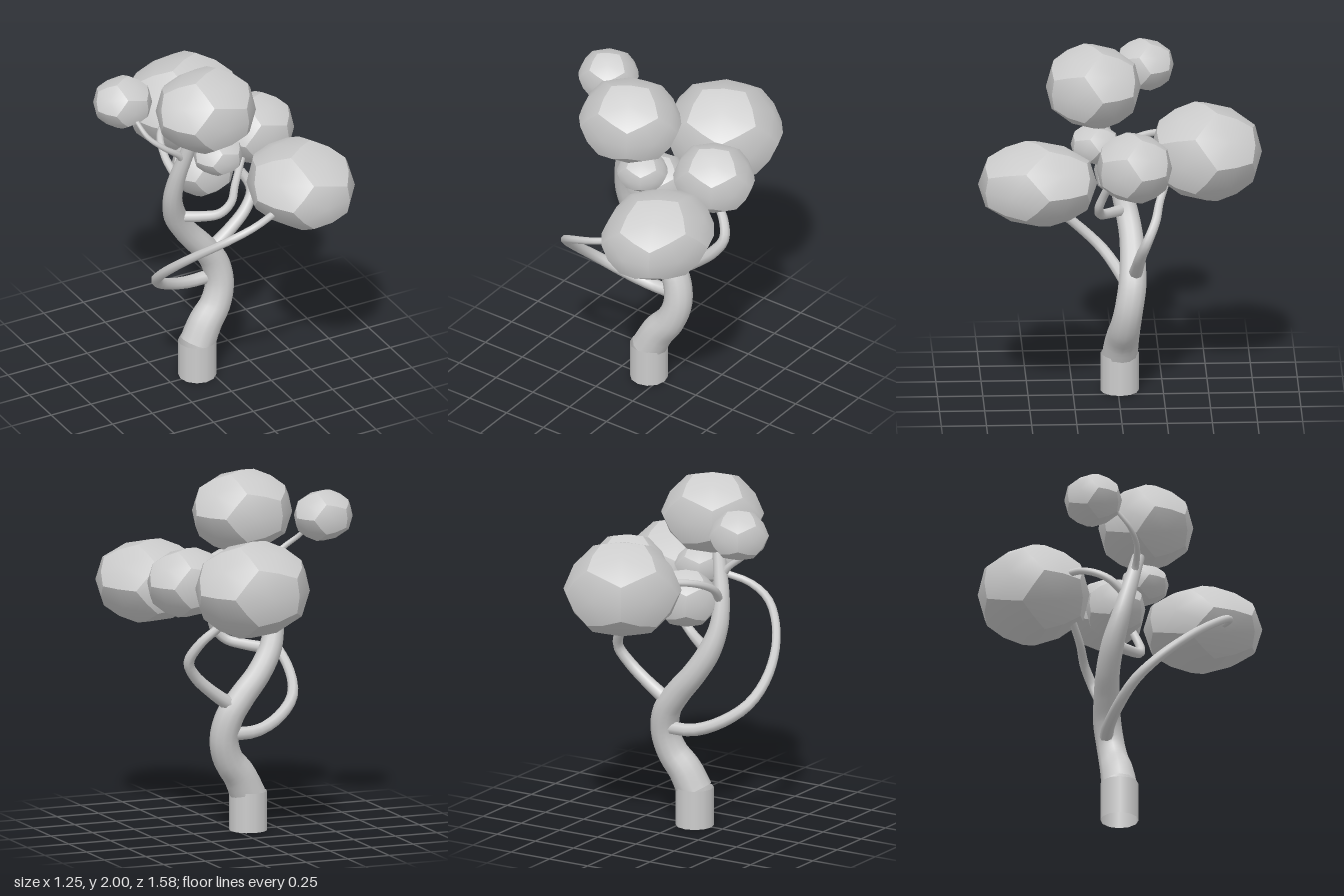
import * as THREE from 'three';
import { mergeVertices } from 'three/addons/utils/BufferGeometryUtils.js';

const material = new THREE.MeshStandardMaterial({ color: 0xcccccc, side: THREE.DoubleSide });

function addMesh(group, name, geometry) {
  const mesh = new THREE.Mesh(geometry, material);
  mesh.name = name;
  group.add(mesh);
  return mesh;
}

// Tube through points of [x, y, z, radius]
function taperedTube(points, segments, sides) {
  const curve = new THREE.CatmullRomCurve3(points.map(p => new THREE.Vector3(p[0], p[1], p[2])));
  const radii = new THREE.CatmullRomCurve3(points.map(p => new THREE.Vector3(p[3], 0, 0)));
  const geometry = new THREE.TubeGeometry(curve, segments, 1, sides);
  const pos = geometry.attributes.position;
  const v = new THREE.Vector3();
  for (let i = 0; i <= segments; i++) {
    const centre = curve.getPointAt(i / segments);
    const radius = radii.getPoint(curve.getUtoTmapping(i / segments)).x;
    for (let j = 0; j <= sides; j++) {
      const k = i * (sides + 1) + j;
      v.fromBufferAttribute(pos, k).sub(centre).multiplyScalar(radius).add(centre);
      pos.setXYZ(k, v.x, v.y, v.z);
    }
  }
  return geometry;
}

// Rounded dodecahedron: each pentagon is a domed patch, smooth inside and creased at its rim
function leafGeometry() {
  const base = new THREE.DodecahedronGeometry(1, 0);
  base.deleteAttribute('normal');
  base.deleteAttribute('uv');
  const pos = mergeVertices(base).attributes.position;
  const corners = [];
  for (let i = 0; i < pos.count; i++) corners.push(new THREE.Vector3().fromBufferAttribute(pos, i));

  const t = (1 + Math.sqrt(5)) / 2;
  const axes = [];
  for (const a of [-1, 1]) for (const b of [-1, 1]) {
    axes.push([0, a * t, b], [a * t, b, 0], [a, 0, b * t]);
  }
  const positions = [], index = [];
  for (const axis of axes) {
    const n = new THREE.Vector3(...axis).normalize();
    const ring = corners.filter(c => c.dot(n) > 0.7);
    const u = ring[0].clone().projectOnPlane(n).normalize();
    const w = n.clone().cross(u);
    const angle = c => Math.atan2(c.dot(w), c.dot(u));
    ring.sort((a, b) => angle(a) - angle(b));
    const start = positions.length / 3;
    positions.push(...n.clone().multiplyScalar(0.955).toArray());
    ring.forEach((c, i) => {
      const mid = c.clone().add(ring[(i + 1) % 5]).setLength(0.985);
      positions.push(...c.toArray(), ...mid.toArray());
    });
    for (let i = 0; i < 10; i++) index.push(start, start + 1 + i, start + 1 + (i + 1) % 10);
  }
  const geometry = new THREE.BufferGeometry();
  geometry.setAttribute('position', new THREE.Float32BufferAttribute(positions, 3));
  geometry.setIndex(index);
  geometry.rotateY(Math.PI / 6);
  geometry.computeVertexNormals();
  return geometry;
}

export function createModel() {
  const group = new THREE.Group();
  group.name = 'tree';

  // Straight, open-ended foot of the trunk
  addMesh(group, 'trunkBase', new THREE.CylinderGeometry(0.106, 0.106, 0.22, 12, 1, true))
    .position.set(-0.075, 0.11, -0.01);

  // Winding trunk
  addMesh(group, 'trunk', taperedTube([
    [-0.075, 0.2, -0.01, 0.1], [-0.02, 0.31, -0.02, 0.095], [0.055, 0.41, -0.035, 0.086],
    [0.09, 0.53, -0.055, 0.08], [0.065, 0.66, -0.075, 0.079], [-0.01, 0.77, -0.08, 0.073],
    [-0.11, 0.89, -0.075, 0.068], [-0.19, 1.02, -0.05, 0.065], [-0.23, 1.16, -0.01, 0.055],
    [-0.225, 1.31, 0.03, 0.047], [-0.19, 1.47, 0.07, 0.04], [-0.14, 1.68, 0.12, 0.032],
  ], 48, 12));

  // Branches
  const branches = {
    frontBranch: [
      [0.05, 0.56, -0.08, 0.038], [-0.1, 0.565, -0.07, 0.036], [-0.25, 0.62, -0.02, 0.034],
      [-0.375, 0.72, 0.07, 0.031], [-0.41, 0.85, 0.21, 0.028], [-0.35, 1.02, 0.4, 0.025],
      [-0.2, 1.17, 0.56, 0.023], [-0.05, 1.24, 0.6, 0.021], [0.1, 1.28, 0.57, 0.02]],
    leftBranch: [
      [0.04, 0.71, -0.09, 0.042], [0.18, 0.81, -0.1, 0.036], [0.29, 0.91, -0.115, 0.033],
      [0.34, 1.0, -0.145, 0.03], [0.29, 1.11, -0.195, 0.027], [0.2, 1.19, -0.22, 0.024],
      [0.09, 1.3, -0.27, 0.022]],
    middleBranch: [
      [-0.19, 1.02, -0.05, 0.034], [-0.08, 1.035, 0.04, 0.031], [0.01, 1.06, 0.1, 0.028],
      [0.075, 1.12, 0.11, 0.025], [0.11, 1.2, 0.085, 0.023], [0.2, 1.36, 0.02, 0.02]],
    backBranch: [
      [-0.22, 1.31, 0.02, 0.026], [-0.24, 1.4, -0.08, 0.023], [-0.2, 1.46, -0.21, 0.02],
      [-0.08, 1.48, -0.34, 0.018]],
    upperBranch: [
      [-0.19, 1.4, 0.05, 0.024], [-0.23, 1.48, 0.075, 0.02], [-0.33, 1.56, 0.08, 0.016],
      [-0.41, 1.63, 0.04, 0.014], [-0.45, 1.72, -0.04, 0.012]],
  };
  for (const [name, points] of Object.entries(branches)) {
    addMesh(group, name, taperedTube(points, 28, 8));
  }

  // Foliage clumps: centre, then half sizes
  const leaf = leafGeometry();
  const clumps = [
    ['backFoliage', [0.1, 1.45, -0.48], [0.335, 0.275, 0.325]],
    ['frontFoliage', [0.32, 1.35, 0.46], [0.305, 0.235, 0.345]],
    ['topFoliage', [-0.1, 1.77, 0.135], [0.295, 0.235, 0.275]],
    ['rightFoliage', [-0.46, 1.77, -0.165], [0.172, 0.145, 0.167]],
    ['leftFoliage', [0.32, 1.435, -0.075], [0.235, 0.197, 0.22]],
    ['lowerFoliage', [-0.03, 1.305, -0.03], [0.19, 0.167, 0.172]],
    ['innerFoliage', [-0.02, 1.46, 0.13], [0.145, 0.112, 0.14]],
  ];
  for (const [name, centre, size] of clumps) {
    const mesh = addMesh(group, name, leaf);
    mesh.position.set(...centre);
    mesh.scale.set(...size);
  }
  return group;
}
